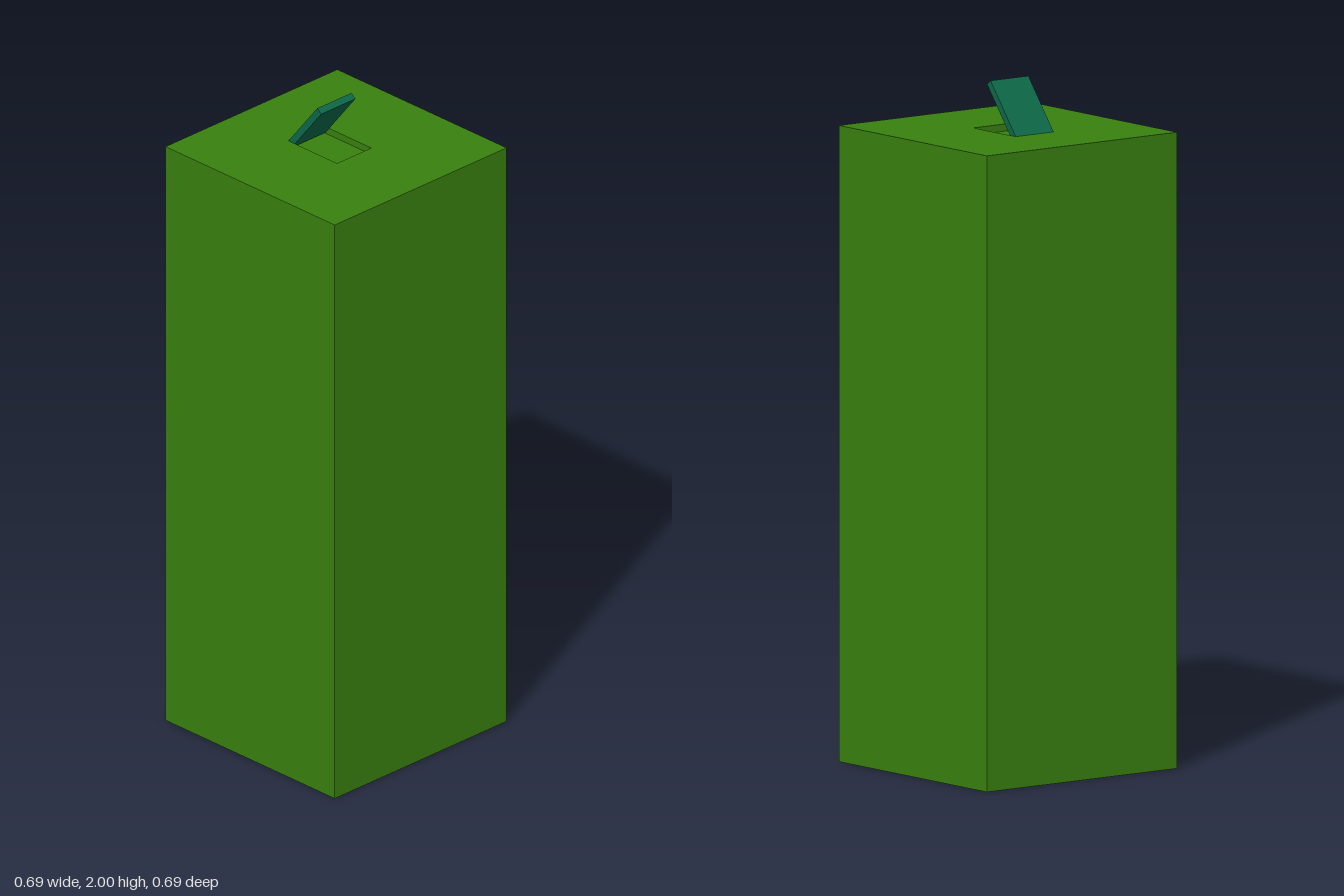
import * as THREE from 'three';

const HALF = 0.3465, TOP = 1.852, DEPTH = 0.021;

// Rectangle outline, drawn as either a Shape or a Path
function rectangle(path, x0, x1, y0, y1) {
  path.moveTo(x0, y0);
  path.lineTo(x1, y0);
  path.lineTo(x1, y1);
  path.lineTo(x0, y1);
  path.closePath();
  return path;
}

export function createModel() {
  const model = new THREE.Group();
  model.name = 'boxWithFlap';
  const green = new THREE.MeshStandardMaterial({ name: 'leaf green', color: 0x38800f });
  const teal = new THREE.MeshStandardMaterial({ name: 'teal', color: 0x0c6848 });

  // Tall body up to the floor of the recess
  const height = TOP - DEPTH;
  const body = new THREE.Mesh(new THREE.BoxGeometry(2 * HALF, height, 2 * HALF), green);
  body.name = 'body';
  body.position.y = height / 2;
  model.add(body);

  // Top layer with the rectangular recess cut through it
  const outline = rectangle(new THREE.Shape(), -HALF, HALF, -HALF, HALF);
  outline.holes.push(rectangle(new THREE.Path(), -0.122, 0.0745, -0.069, 0.069));
  const rimGeometry = new THREE.ExtrudeGeometry(outline, { depth: DEPTH, bevelEnabled: false });
  rimGeometry.rotateX(-Math.PI / 2);
  const rim = new THREE.Mesh(rimGeometry, green);
  rim.name = 'topRim';
  rim.position.y = height;
  model.add(rim);

  // Open flap, hinged at the -x edge of the recess
  const length = 0.195, angle = 0.898;
  const flapGeometry = new THREE.BoxGeometry(length, DEPTH, 0.138);
  flapGeometry.translate(length / 2, -DEPTH / 2, 0);
  const flap = new THREE.Mesh(flapGeometry, teal);
  flap.name = 'flap';
  flap.position.set(-0.1285, 2 - length * Math.sin(angle), 0);
  flap.rotation.z = angle;
  model.add(flap);

  return model;
}
